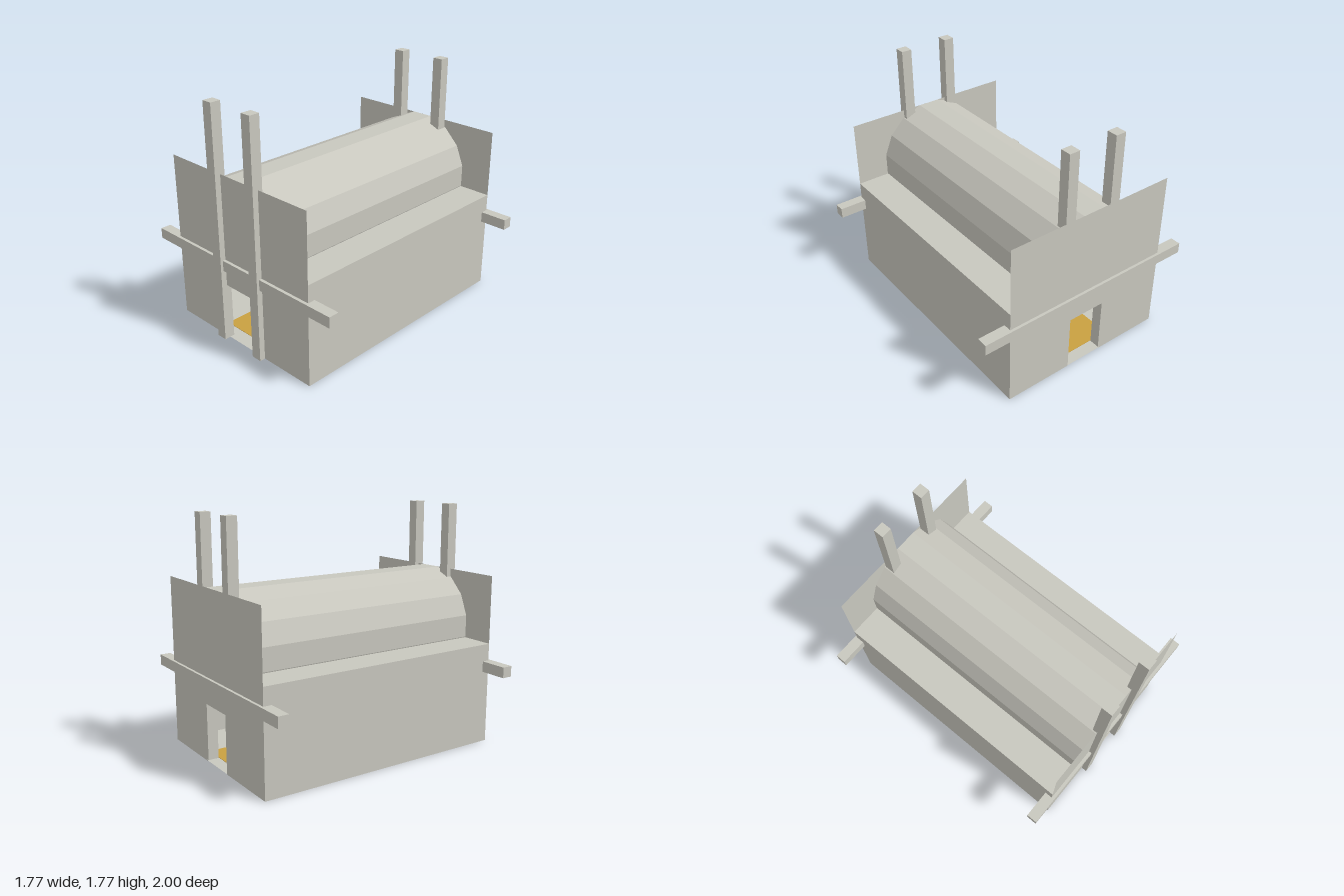
import * as THREE from 'three';

export function createModel() {
  const model = new THREE.Group();
  const stone = new THREE.MeshStandardMaterial({ color: 0xc8c7be, side: THREE.DoubleSide, flatShading: true });
  stone.name = 'pale stone';
  const straw = new THREE.MeshStandardMaterial({ color: 0xc9a040 });
  straw.name = 'golden straw';

  const add = (name, geometry, x, y, z, material = stone) => {
    const mesh = new THREE.Mesh(geometry, material);
    mesh.name = name;
    mesh.position.set(x, y, z);
    model.add(mesh);
    return mesh;
  };

  const W = 0.673, FRONT = 0.957, BACK = -0.98;
  const length = FRONT - BACK, midZ = (FRONT + BACK) / 2;

  // End walls with a doorway cut up from the ground
  const wall = new THREE.Shape([
    [-W, 0], [-0.15, 0], [-0.15, 0.43], [0.15, 0.43], [0.15, 0], [W, 0], [W, 1.27], [-W, 1.27],
  ].map(([x, y]) => new THREE.Vector2(x, y)));
  const wallGeometry = new THREE.ShapeGeometry(wall);
  add('frontWall', wallGeometry, 0, 0, FRONT);
  add('backWall', wallGeometry, 0, 0, BACK).material = stone;

  // Hollow lower chamber: sides, floor and top ledges
  for (const s of [-1, 1]) {
    const side = add(s > 0 ? 'leftSide' : 'rightSide', new THREE.PlaneGeometry(length, 0.76), s * W, 0.38, midZ);
    side.rotation.y = s * Math.PI / 2;
    const ledge = add(s > 0 ? 'leftLedge' : 'rightLedge', new THREE.PlaneGeometry(W - 0.41, length), s * (W + 0.41) / 2, 0.76, midZ);
    ledge.rotation.x = -Math.PI / 2;
  }
  const floor = add('floor', new THREE.PlaneGeometry(2 * W, length), 0, 0.003, midZ);
  floor.rotation.x = -Math.PI / 2;

  // Sixteen-sided barrel lying along the chamber, with a flat facet on top
  const barrelGeometry = new THREE.CylinderGeometry(0.428, 0.428, length, 16, 1, true);
  barrelGeometry.rotateY(Math.PI / 16).rotateX(Math.PI / 2);
  add('barrel', barrelGeometry, 0, 0.85, midZ);

  // Bedding on the floor, showing on both faces
  add('bedding', new THREE.BoxGeometry(0.6, 0.006, 1.74), 0, 0.003, -0.02, straw);

  // Upright posts flanking the doorways and cross beams at both ends
  for (const [end, postZ, beamZ] of [['front', 0.96, 0.94], ['back', -0.933, -0.96]]) {
    for (const s of [-1, 1]) {
      add(end + (s > 0 ? 'LeftPost' : 'RightPost'), new THREE.BoxGeometry(0.08, 1.77, 0.08), s * 0.19, 0.885, postZ);
    }
    add(end + 'Beam', new THREE.BoxGeometry(1.766, 0.08, 0.08), 0, 0.592, beamZ);
  }

  return model;
}
